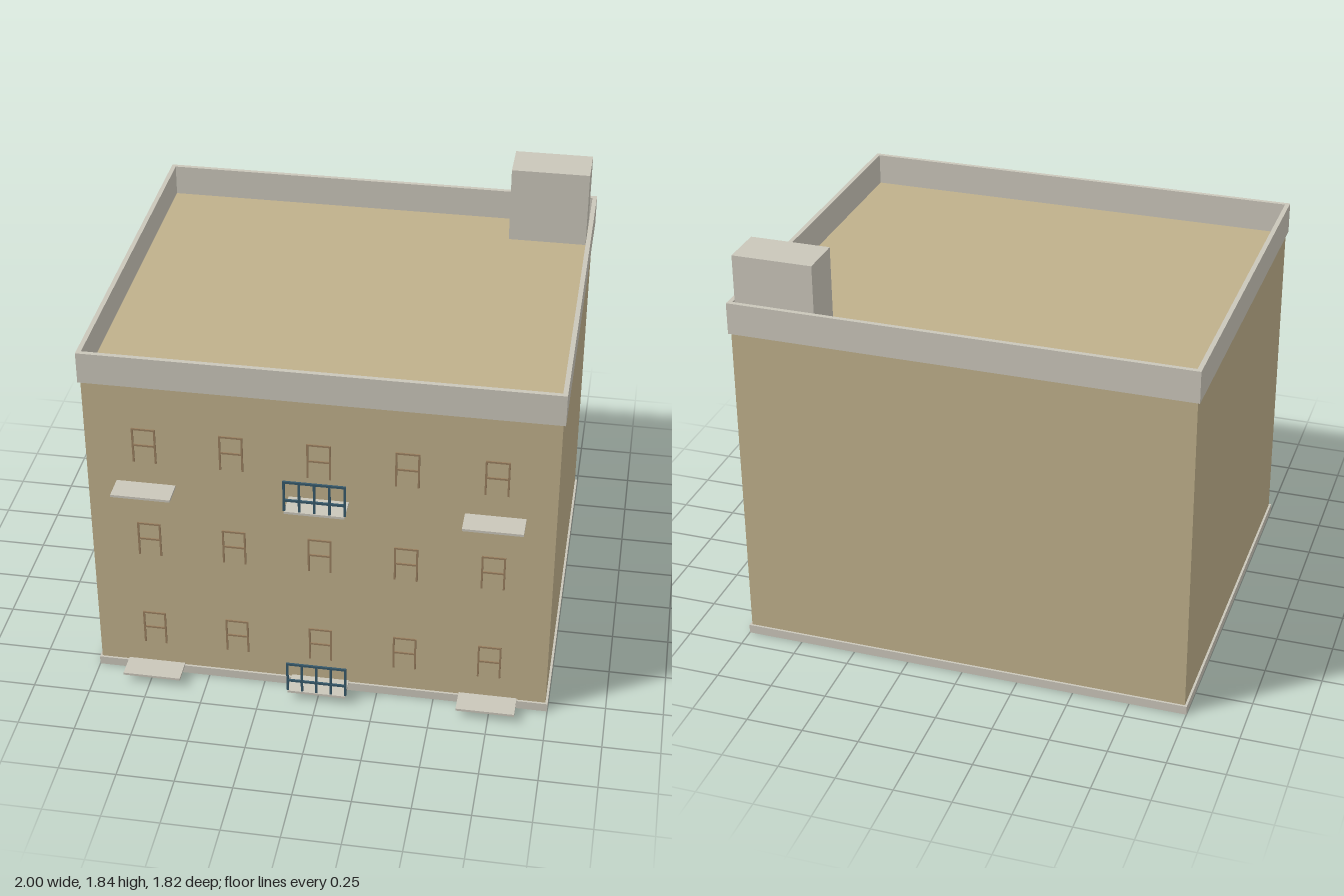
import * as THREE from 'three';

const mat = (name, color) => {
  const m = new THREE.MeshStandardMaterial({ color });
  m.name = name;
  return m;
};

export function createModel() {
  const wall = mat('sandWall', 0xbfb08b);
  const stone = mat('paleStone', 0xcac6ba);
  const frame = mat('windowFrame', 0x997f5f);
  const iron = mat('blueIron', 0x36586a);

  const model = new THREE.Group();
  model.name = 'apartmentBlock';

  // Box given by its minimum and maximum along each axis
  const box = (parent, name, material, [x0, x1], [y0, y1], [z0, z1]) => {
    const mesh = new THREE.Mesh(new THREE.BoxGeometry(x1 - x0, y1 - y0, z1 - z0), material);
    mesh.position.set((x0 + x1) / 2, (y0 + y1) / 2, (z0 + z1) / 2);
    mesh.name = name;
    parent.add(mesh);
    return mesh;
  };
  const group = (name, x, y, z) => {
    const g = new THREE.Group();
    g.name = name;
    g.position.set(x, y, z);
    model.add(g);
    return g;
  };

  // Main body, plinth and chimney
  box(model, 'plinth', stone, [-1, 1], [0, 0.04], [-0.91, 0.81]);
  box(model, 'walls', wall, [-0.99, 0.99], [0.04, 1.49], [-0.9, 0.8]);
  box(model, 'chimney', stone, [0.62, 0.97], [1.49, 1.84], [-0.888, -0.693]);

  // Parapet: a rectangular ring around the flat roof
  const rect = (target, w, d) => {
    target.moveTo(-w, -d);
    target.lineTo(w, -d);
    target.lineTo(w, d);
    target.lineTo(-w, d);
    target.closePath();
    return target;
  };
  const ring = rect(new THREE.Shape(), 1, 0.86);
  ring.holes.push(rect(new THREE.Path(), 0.98, 0.84));
  const parapetGeometry = new THREE.ExtrudeGeometry(ring, { depth: 0.14, bevelEnabled: false });
  parapetGeometry.rotateX(-Math.PI / 2);
  const parapet = new THREE.Mesh(parapetGeometry, stone);
  parapet.name = 'parapet';
  parapet.position.set(0, 1.49, -0.05);
  model.add(parapet);

  // Window frames: two jambs, a head and a middle bar
  for (const y of [0.153, 0.635, 1.117]) {
    for (let i = -2; i <= 2; i++) {
      const win = group('windowFrame', i * 0.369, y, 0.8);
      const z = [0, 0.006];
      for (const s of [-1, 1]) {
        box(win, 'jamb', frame, [s * 0.047 - 0.004, s * 0.047 + 0.004], [0, 0.167], z);
      }
      box(win, 'head', frame, [-0.043, 0.043], [0.159, 0.167], z);
      box(win, 'middleBar', frame, [-0.043, 0.043], [0.08, 0.088], z);
    }
  }

  // Balcony slabs on two levels, with a railing on the middle ones
  for (const y of [0.036, 1.0]) {
    for (const x of [-0.739, -0.002, 0.737]) {
      const balcony = group('balcony', x, y, 0.8);
      box(balcony, 'slab', stone, [-0.127, 0.127], [0, 0.011], [0, 0.11]);
      if (Math.abs(x) > 0.1) continue;
      const z = [0.1, 0.106];
      for (let i = -2; i <= 2; i++) {
        const px = i * 0.0635;
        box(balcony, 'railingPost', iron, [px - 0.005, px + 0.005], [0.011, 0.16], z);
      }
      for (const ry of [0.065, 0.155]) {
        box(balcony, 'railingBar', iron, [-0.132, 0.132], [ry - 0.005, ry + 0.005], [0.099, 0.107]);
      }
    }
  }

  return model;
}
